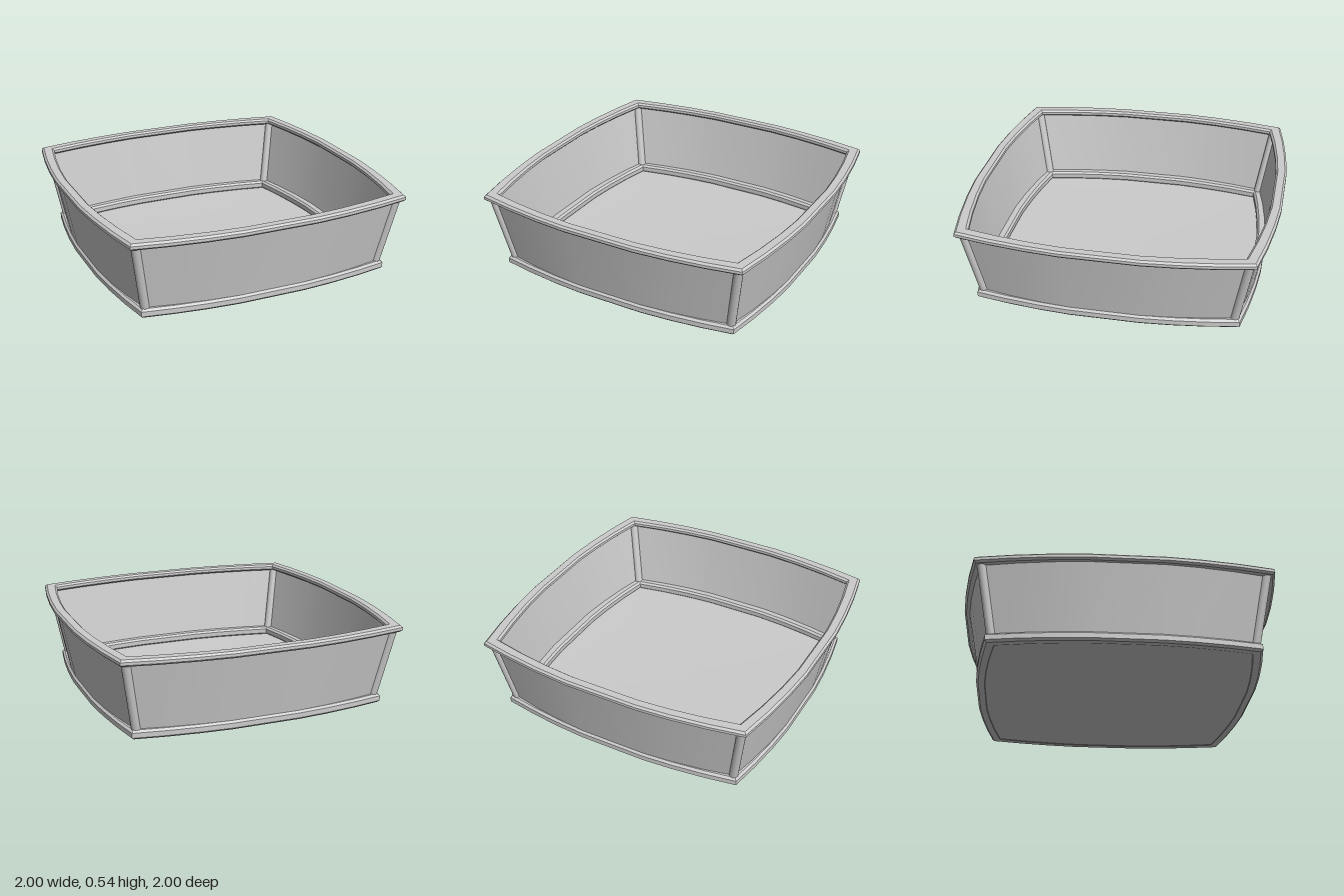
import * as THREE from 'three';
import { toCreasedNormals } from 'three/addons/utils/BufferGeometryUtils.js';

const FRACTIONS = [-1, -0.76, -0.51, -0.27, 0.27, 0.51, 0.76, 1];

// Sweeps a profile of [midside distance, corner distance, y] around a square with bowed sides.
// The outer edge of a closed profile runs upward.
function bowedLoft(profile, closed) {
  const rows = closed ? [...profile, profile[0]] : profile;
  const positions = [];
  const point = (row, f, side) => {
    const [mid, corner, y] = row;
    const bow = Math.max(0, (f * f - 0.073) / 0.927);
    return new THREE.Vector3(f * corner, y, mid - (mid - corner) * bow)
      .applyAxisAngle(new THREE.Vector3(0, 1, 0), side * Math.PI / 2);
  };
  for (let side = 0; side < 4; side++) {
    for (let r = 0; r < rows.length - 1; r++) {
      for (let i = 0; i < FRACTIONS.length - 1; i++) {
        const a = point(rows[r], FRACTIONS[i], side);
        const b = point(rows[r], FRACTIONS[i + 1], side);
        const c = point(rows[r + 1], FRACTIONS[i + 1], side);
        const d = point(rows[r + 1], FRACTIONS[i], side);
        for (const p of [a, b, c, a, c, d]) positions.push(p.x, p.y, p.z);
      }
    }
  }
  const geometry = new THREE.BufferGeometry();
  geometry.setAttribute('position', new THREE.Float32BufferAttribute(positions, 3));
  return toCreasedNormals(geometry, 0.5);
}

// Bevelled rail section between an inner and an outer outline
function railProfile(outer, inner, bow, y0, y1, bevel) {
  const at = (m, y) => [m, m - bow, y];
  return [
    at(outer - bevel, y0), at(outer, y0 + bevel), at(outer, y1 - bevel), at(outer - bevel, y1),
    at(inner + bevel, y1), at(inner, y1 - bevel), at(inner, y0 + bevel), at(inner + bevel, y0),
  ];
}

export function createModel() {
  const group = new THREE.Group();
  const solid = new THREE.MeshStandardMaterial({ color: 0xcccccc });
  const sheet = new THREE.MeshStandardMaterial({ color: 0xcccccc, side: THREE.DoubleSide });
  const add = (name, geometry, material) => {
    const mesh = new THREE.Mesh(geometry, material);
    mesh.name = name;
    group.add(mesh);
    return mesh;
  };

  // Top and bottom rails
  add('topRim', bowedLoft(railProfile(1.0, 0.93, 0.09, 0.493, 0.535, 0.012), true), solid);
  add('baseRail', bowedLoft(railProfile(0.9, 0.835, 0.075, 0.01, 0.067, 0.013), true), solid);

  // Thin flaring walls
  add('walls', bowedLoft([[0.882, 0.793, 0.04], [0.97, 0.872, 0.51]], false), sheet);

  // Floor panel with a very slight sag
  add('floor', bowedLoft([[0, 0, 0], [0.36, 0.33, 0.001], [0.86, 0.785, 0.014]], false), sheet);

  // Leaning round posts covering the four corner seams
  for (const sx of [-1, 1]) {
    for (const sz of [-1, 1]) {
      const bottom = new THREE.Vector3(sx * 0.786, 0.04, sz * 0.786);
      const top = new THREE.Vector3(sx * 0.868, 0.515, sz * 0.868);
      const path = new THREE.LineCurve3(bottom, top);
      add(`${sz > 0 ? 'front' : 'back'}${sx > 0 ? 'Left' : 'Right'}Post`,
        new THREE.TubeGeometry(path, 1, 0.028, 16, false), sheet);
    }
  }
  return group;
}
